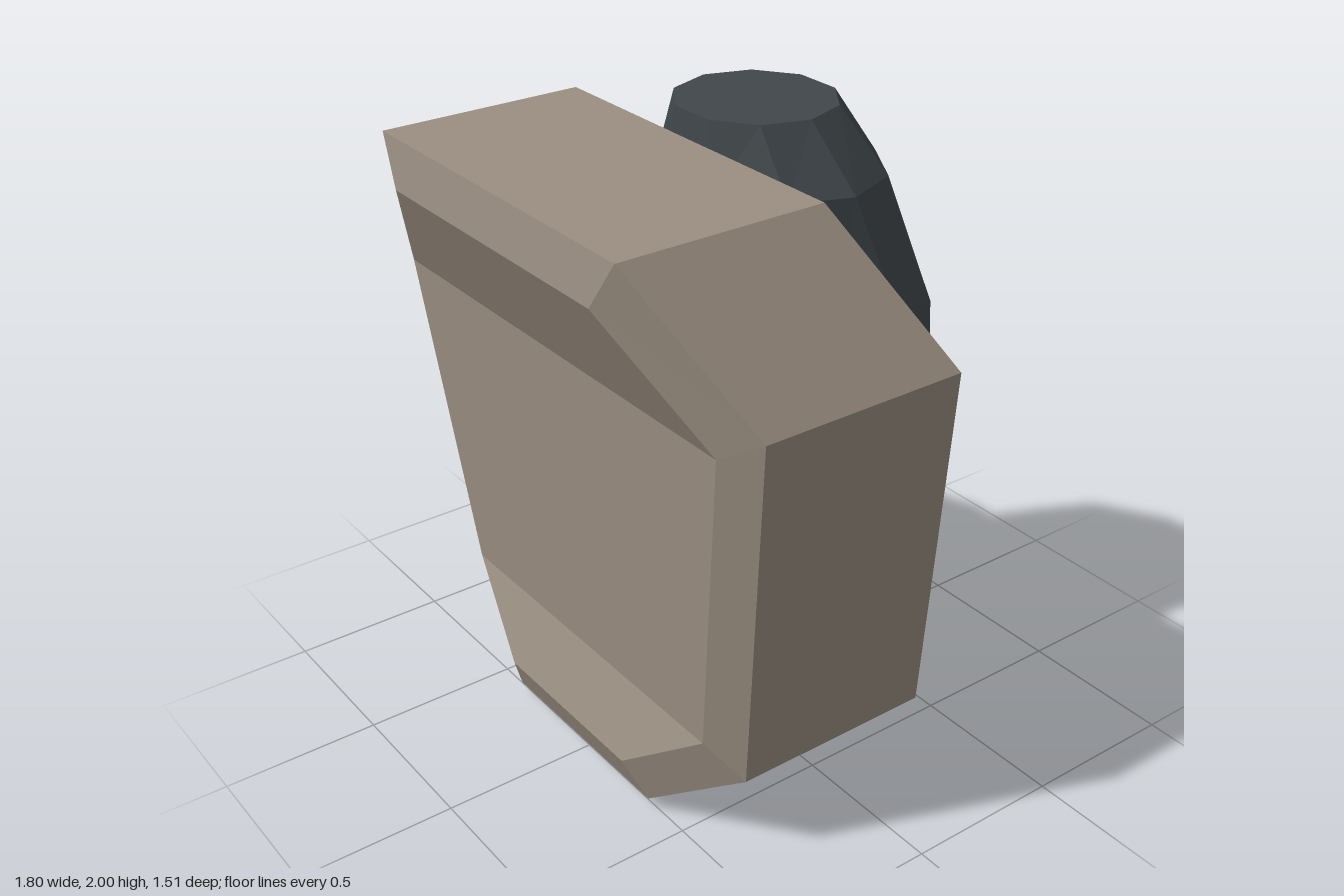
import * as THREE from 'three';

const tan = new THREE.MeshStandardMaterial({ color: 0x9a8e81 });
tan.name = 'warm tan';
const slate = new THREE.MeshStandardMaterial({ color: 0x40474b });
slate.name = 'dark slate';

// Non-indexed, flat-shaded mesh from quads with counter-clockwise corners
function quadMesh(name, quads, material) {
  const pos = [];
  for (const [a, b, c, d] of quads) pos.push(...a, ...b, ...c, ...a, ...c, ...d);
  const geo = new THREE.BufferGeometry();
  geo.setAttribute('position', new THREE.Float32BufferAttribute(pos, 3));
  geo.computeVertexNormals();
  const mesh = new THREE.Mesh(geo, material);
  mesh.name = name;
  return mesh;
}

// Quads joining two closed loops of points; the second loop lies ahead of the first
const band = (back, front) => back.map((p, i) => {
  const j = (i + 1) % back.length;
  return [p, back[j], front[j], front[i]];
});

// Symmetric loop, counter-clockwise from the front, from rows [halfWidth, y, z] (top to bottom)
const loop = (rows) => [
  ...rows.map(([x, y, z]) => [-x, y, z]),
  ...[...rows].reverse().map(([x, y, z]) => [x, y, z]),
];

// Quads filling such a symmetric outline, row by row
const fill = (rows, facingFront) => rows.slice(1).map((low, i) => {
  const [X, Y, Z] = rows[i], [x, y, z] = low;
  const q = [[-X, Y, Z], [-x, y, z], [x, y, z], [X, Y, Z]];
  return facingFront ? q : q.reverse();
});

export function createModel() {
  const model = new THREE.Group();
  model.name = 'curvedPad';

  // Curved pad: back outline, front rim and inset front panel
  const back = [[0.58, 1.92, 0.09], [0.9, 1.5, -0.12], [0.72, 0.3, -0.21], [0.36, 0.04, -0.12]];
  const rim = back.map(([x, y, z]) => [x, y, z + 0.645]);
  const panel = [[0.49, 1.775, 0.755], [0.77, 1.42, 0.578], [0.61, 0.4, 0.505], [0.305, 0.175, 0.58]];
  model.add(
    quadMesh('padSides', band(loop(back), loop(rim)), tan),
    quadMesh('padBevel', band(loop(rim), loop(panel)), tan),
    quadMesh('padFrontPanel', fill(panel, true), tan),
    quadMesh('padBack', fill(back, false), slate),
  );

  // Ten-sided curved column behind the pad: [y, centre z, radius x, radius z]
  const rings = [
    [0, -0.485, 0.25, 0.238],
    [0.22, -0.485, 0.356, 0.285],
    [1.38, -0.355, 0.42, 0.315],
    [1.8, -0.2, 0.373, 0.31],
    [2, -0.14, 0.247, 0.239],
  ].map(([y, cz, rx, rz]) => Array.from({ length: 10 }, (_, i) => {
    const a = (i / 10) * Math.PI * 2;
    return [rx * Math.cos(a), y, cz - rz * Math.sin(a)];
  }));
  const sides = rings.slice(1).flatMap((ring, i) => band(rings[i], ring));
  // End caps, each split into four quads
  const cap = (r) => [1, 3, 5, 7].map((i) => [r[0], r[i], r[i + 1], r[i + 2]]);
  const top = cap(rings[4]);
  const bottom = cap([...rings[0]].reverse());
  model.add(
    quadMesh('columnSides', sides, slate),
    quadMesh('columnTop', top, slate),
    quadMesh('columnBottom', bottom, slate),
  );

  return model;
}
